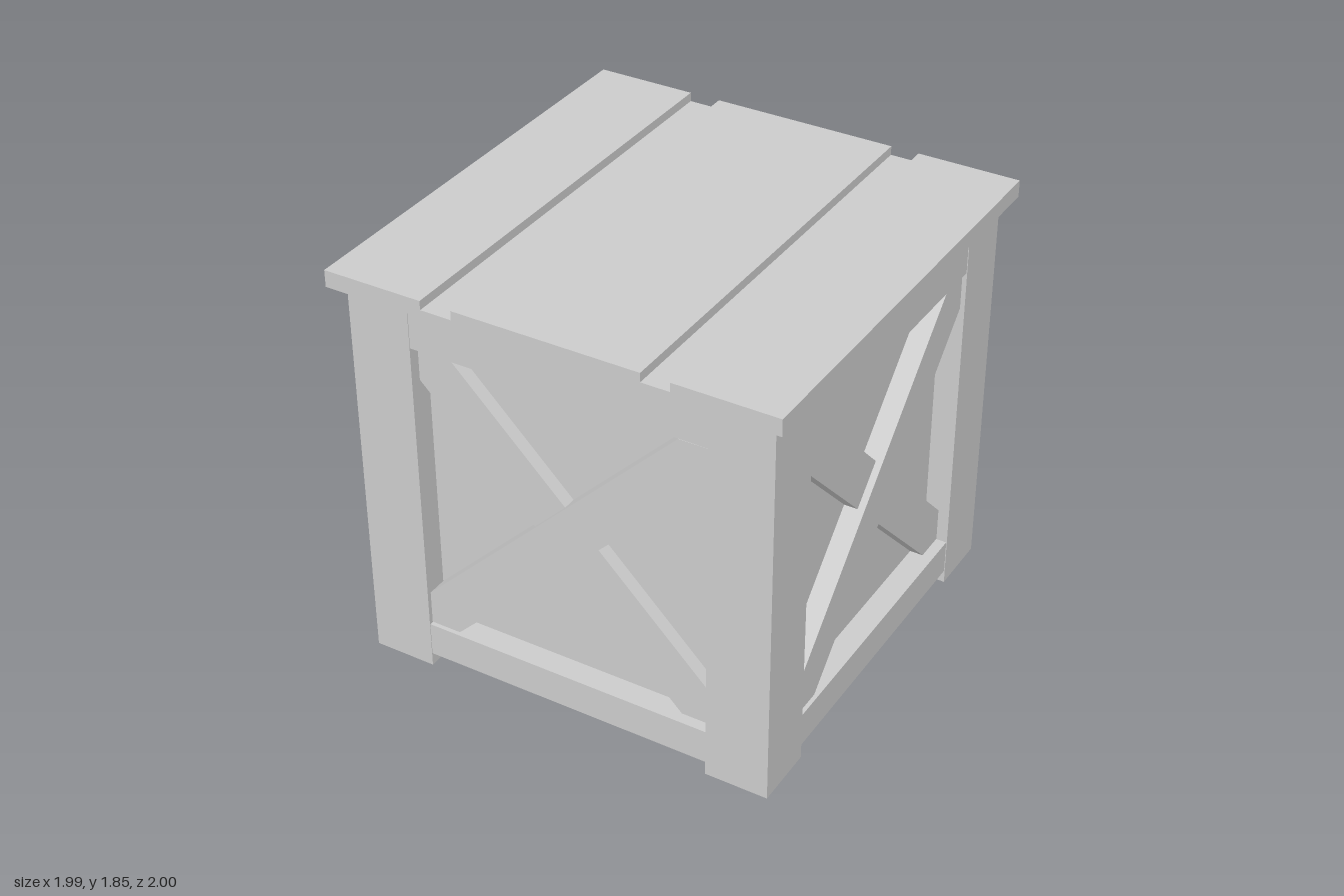
import * as THREE from 'three';

const material = new THREE.MeshStandardMaterial({ color: 0xcccccc, flatShading: true });

const OUT = 0.94;    // outer face of the frame
const IN = 0.66;     // inner edge of the posts
const PANEL = 0.83;  // face of the recessed panels

function add(parent, name, geometry) {
  const mesh = new THREE.Mesh(geometry, material);
  mesh.name = name;
  parent.add(mesh);
  return mesh;
}

// Box given by its minimum and maximum corners
function box(parent, name, [x0, y0, z0], [x1, y1, z1]) {
  const mesh = add(parent, name, new THREE.BoxGeometry(x1 - x0, y1 - y0, z1 - z0));
  mesh.position.set((x0 + x1) / 2, (y0 + y1) / 2, (z0 + z1) / 2);
  return mesh;
}

// Outline extruded along z from z0 to z1
function prism(parent, name, points, z0, z1) {
  const shape = new THREE.Shape(points.map(([x, y]) => new THREE.Vector2(x, y)));
  const geometry = new THREE.ExtrudeGeometry(shape, { depth: z1 - z0, bevelEnabled: false });
  geometry.translate(0, 0, z0);
  return add(parent, name, geometry);
}

// One side of the crate: two rails and a pair of crossed braces
function createSide() {
  const side = new THREE.Group();
  side.name = 'side';
  box(side, 'bottomRail', [-IN, 0.06, PANEL - 0.02], [IN, 0.215, OUT - 0.003]);
  box(side, 'topRail', [-IN, 1.57, PANEL - 0.02], [IN, 1.74, OUT - 0.003]);

  // Diagonal with ends cut to fit the opening
  const brace = [
    [-IN, 0.217], [-0.523, 0.217], [IN, 1.4],
    [IN, 1.555], [0.525, 1.555], [-IN, 0.37],
  ];
  const mirrored = brace.map(([x, y]) => [-x, y]).reverse();
  prism(side, 'frontBrace', brace, PANEL - 0.01, 0.92);
  prism(side, 'rearBrace', mirrored, PANEL - 0.01, 0.89);
  return side;
}

export function createModel() {
  const crate = new THREE.Group();
  crate.name = 'crate';

  // Closed inner box forming the recessed panels and floor
  box(crate, 'innerBox', [-PANEL, 0.06, -PANEL], [PANEL, 1.74, PANEL]);

  // Corner posts
  for (const sx of [-1, 1]) {
    for (const sz of [-1, 1]) {
      const post = box(crate, 'cornerPost', [IN, 0, IN], [OUT, 1.776, OUT]);
      post.position.x *= sx;
      post.position.z *= sz;
    }
  }

  // Four matching sides
  for (let i = 0; i < 4; i++) {
    const side = createSide();
    side.rotation.y = (i * Math.PI) / 2;
    crate.add(side);
  }

  // Lid with two grooves running front to back
  prism(crate, 'lid', [
    [-0.995, 1.775], [0.995, 1.775], [0.995, 1.85],
    [0.54, 1.85], [0.54, 1.81], [0.415, 1.81], [0.415, 1.85],
    [-0.41, 1.85], [-0.41, 1.81], [-0.55, 1.81], [-0.55, 1.85],
    [-0.995, 1.85],
  ], -1, 1);

  return crate;
}
